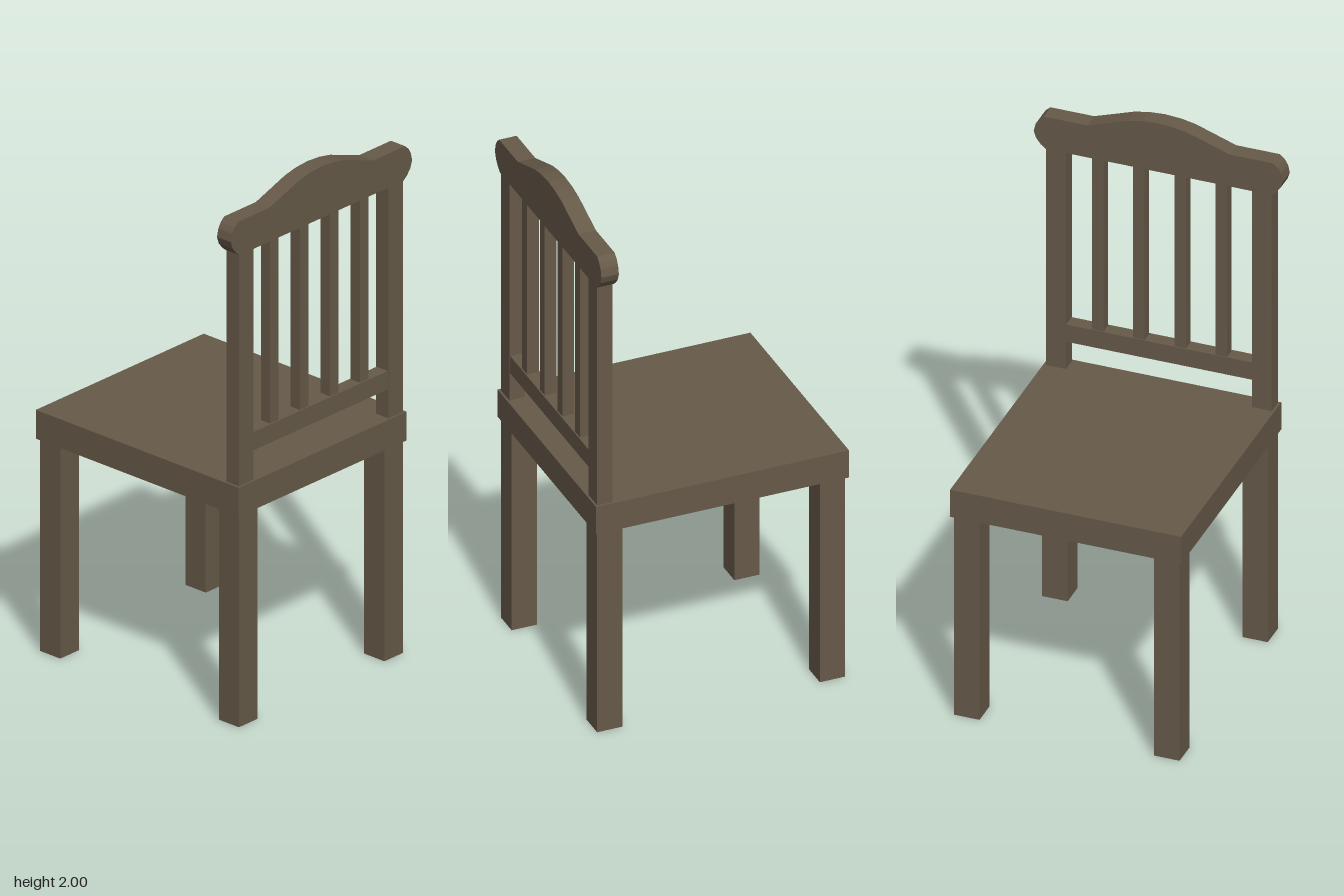
import * as THREE from 'three';

export function createModel() {
  const chair = new THREE.Group();
  chair.name = 'chair';
  const wood = new THREE.MeshStandardMaterial({ color: 0x665948, flatShading: true });

  // Box given by its lower and upper limits on each axis
  const addBox = (name, [x0, x1], [y0, y1], [z0, z1]) => {
    const mesh = new THREE.Mesh(new THREE.BoxGeometry(x1 - x0, y1 - y0, z1 - z0), wood);
    mesh.position.set((x0 + x1) / 2, (y0 + y1) / 2, (z0 + z1) / 2);
    mesh.name = name;
    chair.add(mesh);
  };

  // Seat
  addBox('seat', [-0.43, 0.43], [0.81, 0.92], [-0.478, 0.478]);

  // Legs and back posts, mirrored; the backrest stands at +z
  for (const [side, s] of [['left', 1], ['right', -1]]) {
    const span = (a, b) => [Math.min(a * s, b * s), Math.max(a * s, b * s)];
    addBox(`${side}LegNearBack`, span(0.325, 0.42), [0, 0.81], [0.375, 0.47]);
    addBox(`${side}LegAwayFromBack`, span(0.325, 0.42), [0, 0.81], [-0.467, -0.372]);
    addBox(`${side}BackPost`, span(0.346, 0.42), [0.92, 1.805], [0.412, 0.47]);
  }

  // Lower back rail and slats
  addBox('lowerBackRail', [-0.346, 0.346], [1.03, 1.1], [0.414, 0.467]);
  for (const x of [-0.23, -0.077, 0.077, 0.23]) {
    addBox('backSlat', [x - 0.0215, x + 0.0215], [1.1, 1.805], [0.418, 0.462]);
  }

  // Crest rail: half outline from lower end to the peak, mirrored and extruded
  const half = [
    [0.42, 1.803], [0.438, 1.818], [0.455, 1.84], [0.464, 1.867], [0.457, 1.897], [0.445, 1.917],
    [0.427, 1.933], [0.265, 1.933], [0.115, 1.985], [0.06, 1.996], [0, 2],
  ];
  const outline = [...half, ...half.slice(0, -1).reverse().map(([x, y]) => [-x, y])];
  const shape = new THREE.Shape(outline.map(([x, y]) => new THREE.Vector2(x, y)));
  const crest = new THREE.Mesh(
    new THREE.ExtrudeGeometry(shape, { depth: 0.066, bevelEnabled: false }), wood);
  crest.position.z = 0.407;
  crest.name = 'crestRail';
  chair.add(crest);

  return chair;
}
